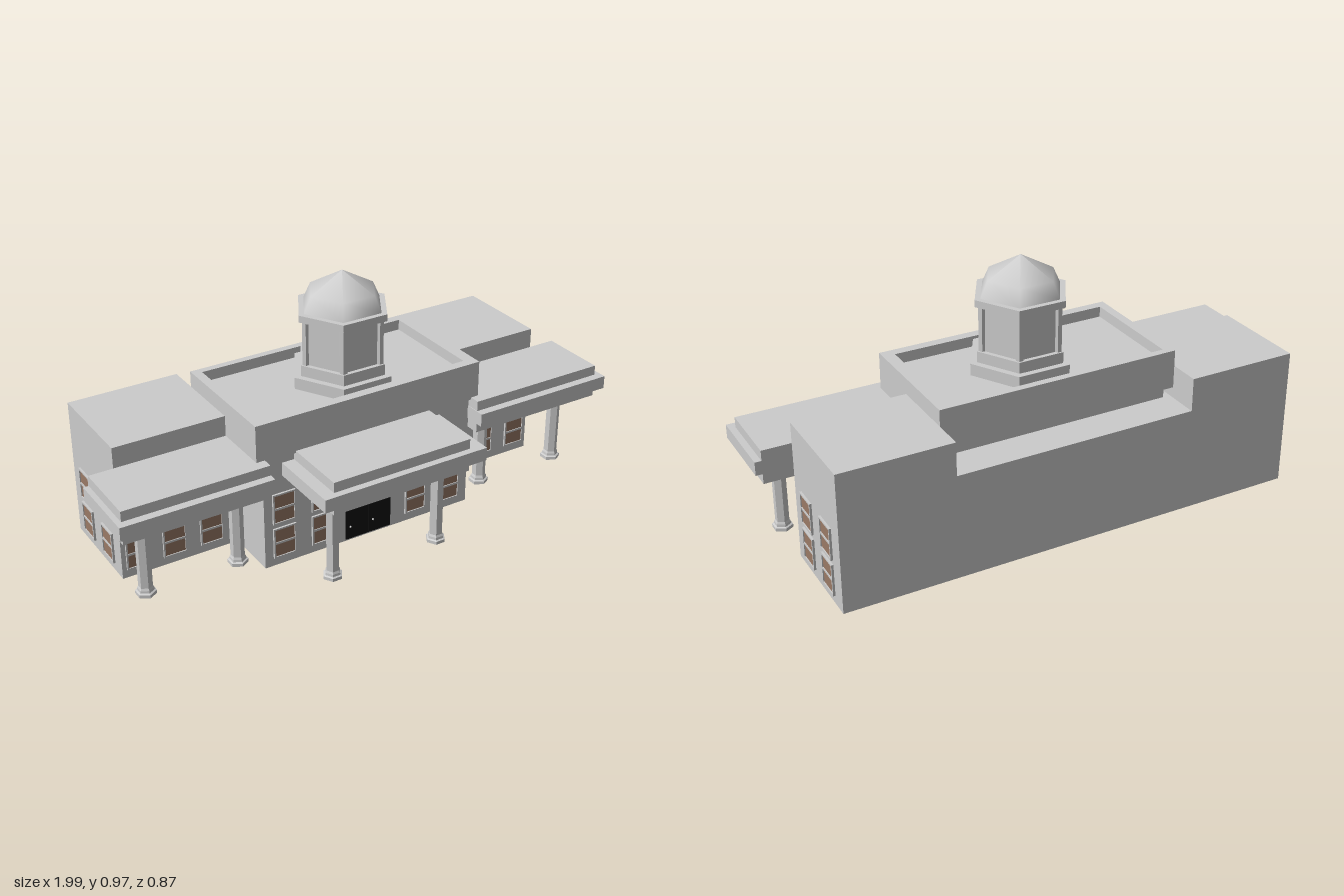
import * as THREE from 'three';

const grey = new THREE.MeshStandardMaterial({ color: 0xcccccc, side: THREE.DoubleSide });
const flat = new THREE.MeshStandardMaterial({ color: 0xcccccc, flatShading: true, side: THREE.DoubleSide });
const brown = new THREE.MeshStandardMaterial({ color: 0x9a7a66 });
const black = new THREE.MeshStandardMaterial({ color: 0x111111 });

function add(parent, name, geometry, material = grey) {
  const mesh = new THREE.Mesh(geometry, material);
  mesh.name = name;
  parent.add(mesh);
  return mesh;
}

// Box given by its limits on each axis
function block(parent, name, [x0, x1], [y0, y1], [z0, z1], material = grey) {
  const mesh = add(parent, name, new THREE.BoxGeometry(x1 - x0, y1 - y0, z1 - z0), material);
  mesh.position.set((x0 + x1) / 2, (y0 + y1) / 2, (z0 + z1) / 2);
  return mesh;
}

// Six-sided turned part with corners on +x and -x
function hexLathe(parent, name, profile, material = flat) {
  const points = profile.map(([r, y]) => new THREE.Vector2(r, y));
  const mesh = add(parent, name, new THREE.LatheGeometry(points, 6), material);
  mesh.rotation.y = Math.PI / 6;
  return mesh;
}

// Window facing +z: raised frame, brown panes and a crossbar
function makeWindow(x, y, z, turn = 0) {
  const win = new THREE.Group();
  win.name = 'window';
  const w = 0.045, h = 0.06, t = 0.006;
  for (const s of [-1, 1]) {
    block(win, 'frameRail', [-w, w], [s * h - (s > 0 ? t : 0), s * h + (s < 0 ? t : 0)], [0, 0.008]);
    block(win, 'frameStile', [s * w - (s > 0 ? t : 0), s * w + (s < 0 ? t : 0)], [-h, h], [0, 0.008]);
  }
  block(win, 'pane', [-w + t, w - t], [-h + t, h - t], [0, 0.004], brown);
  block(win, 'crossbar', [-w + t, w - t], [-0.004, 0.004], [0, 0.007]);
  win.position.set(x, y, z);
  win.rotation.y = turn;
  return win;
}

// Column with stepped base and capital
function makeColumn(x, z, bottom, top, turn) {
  const column = new THREE.Group();
  column.name = 'column';
  const h = top - bottom;
  hexLathe(column, 'shaft', [
    [0, 0], [0.037, 0], [0.037, 0.012], [0.03, 0.015], [0.029, 0.024], [0.025, 0.032],
    [0.025, h - 0.03], [0.029, h - 0.022], [0.03, h - 0.014], [0.037, h - 0.012], [0.037, h], [0, h],
  ]);
  column.position.set(x, bottom, z);
  column.rotation.y = turn;
  return column;
}

// Porch roof: wide slab between two narrower layers
function makePorch(inner, outer, zInner, zOuter) {
  const porch = new THREE.Group();
  porch.name = 'porchRoof';
  block(porch, 'beam', inner, [0.337, 0.375], zInner);
  block(porch, 'slab', outer, [0.375, 0.425], zOuter);
  block(porch, 'roofTop', inner, [0.425, 0.463], zInner);
  return porch;
}

export function createModel() {
  const model = new THREE.Group();
  model.name = 'building';

  // Wings, rear ledge and central block
  block(model, 'rightWing', [-0.887, -0.467], [0.02, 0.54], [-0.435, -0.057]);
  block(model, 'leftWing', [0.45, 0.866], [0.02, 0.54], [-0.435, -0.057]);
  block(model, 'rearBlock', [-0.467, 0.45], [0.02, 0.415], [-0.435, -0.057]);
  block(model, 'centralBlock', [-0.438, 0.422], [0.02, 0.46], [-0.3, 0.15]);

  // Parapet with a sunken roof
  const outline = new THREE.Shape([
    new THREE.Vector2(-0.467, -0.163), new THREE.Vector2(0.45, -0.163),
    new THREE.Vector2(0.45, 0.317), new THREE.Vector2(-0.467, 0.317),
  ]);
  outline.holes.push(new THREE.Path([
    new THREE.Vector2(-0.433, -0.127), new THREE.Vector2(-0.433, 0.29),
    new THREE.Vector2(0.405, 0.29), new THREE.Vector2(0.405, -0.127),
  ]));
  const parapet = add(model, 'parapet', new THREE.ExtrudeGeometry(outline, { depth: 0.145, bevelEnabled: false }));
  parapet.rotation.x = -Math.PI / 2;
  parapet.position.y = 0.455;
  block(model, 'sunkenRoof', [-0.433, 0.405], [0.455, 0.56], [-0.29, 0.127]);

  // Cupola
  const cupola = new THREE.Group();
  cupola.name = 'cupola';
  cupola.position.set(0.016, 0, -0.072);
  model.add(cupola);
  hexLathe(cupola, 'footing', [[0.197, 0.56], [0.197, 0.604], [0, 0.604]]);
  hexLathe(cupola, 'plinth', [[0.171, 0.604], [0.171, 0.645], [0, 0.645]]);
  hexLathe(cupola, 'drum', [[0.153, 0.645], [0.153, 0.812]]);
  for (let i = 0; i < 6; i++) {
    const a = i * Math.PI / 3;
    const pilaster = add(cupola, 'pilaster', new THREE.CylinderGeometry(0.015, 0.015, 0.167, 6), flat);
    pilaster.position.set(0.149 * Math.cos(a), 0.7285, 0.149 * Math.sin(a));
    pilaster.rotation.y = Math.PI / 6;
  }
  hexLathe(cupola, 'cornice', [[0, 0.812], [0.177, 0.812], [0.177, 0.838], [0, 0.838]]);
  hexLathe(cupola, 'dome', [[0.155, 0.838], [0.128, 0.897], [0, 0.97]], grey);

  // Porch roofs
  model.add(makePorch([-0.315, 0.235], [-0.363, 0.289], [0.14, 0.41], [0.14, 0.436]));
  model.add(makePorch([-0.977, -0.435], [-0.997, -0.435], [-0.057, 0.203], [-0.057, 0.234]));
  model.add(makePorch([0.42, 0.973], [0.417, 0.997], [-0.057, 0.203], [-0.057, 0.234]));

  // Columns
  for (const x of [-0.25, 0.187]) model.add(makeColumn(x, 0.292, 0.003, 0.338, 0));
  for (const x of [-0.87, -0.52, 0.52, 0.87]) model.add(makeColumn(x, 0.1, 0.05, 0.338, Math.PI / 6));

  // Windows in two rows
  const rows = [0.112, 0.25];
  for (const y of rows) {
    for (const x of [-0.825, -0.685, -0.54, 0.5, 0.652, 0.805]) model.add(makeWindow(x, y, -0.057));
    for (const x of [-0.36, -0.205, 0.19, 0.34]) model.add(makeWindow(x, y, 0.15));
    for (const z of [-0.161, -0.328]) {
      model.add(makeWindow(0.866, y, z, Math.PI / 2));
      model.add(makeWindow(-0.887, y, z, -Math.PI / 2));
    }
  }
  for (const x of [-0.085, 0.067]) model.add(makeWindow(x, rows[1], 0.15));

  // Double door with knobs
  for (const x of [-0.11, -0.014]) {
    block(model, 'door', [x, x + 0.094], [0.028, 0.155], [0.148, 0.155], black);
    const knob = add(model, 'doorKnob', new THREE.SphereGeometry(0.004, 8, 6));
    knob.position.set(x + 0.018, 0.078, 0.157);
  }
  return model;
}
